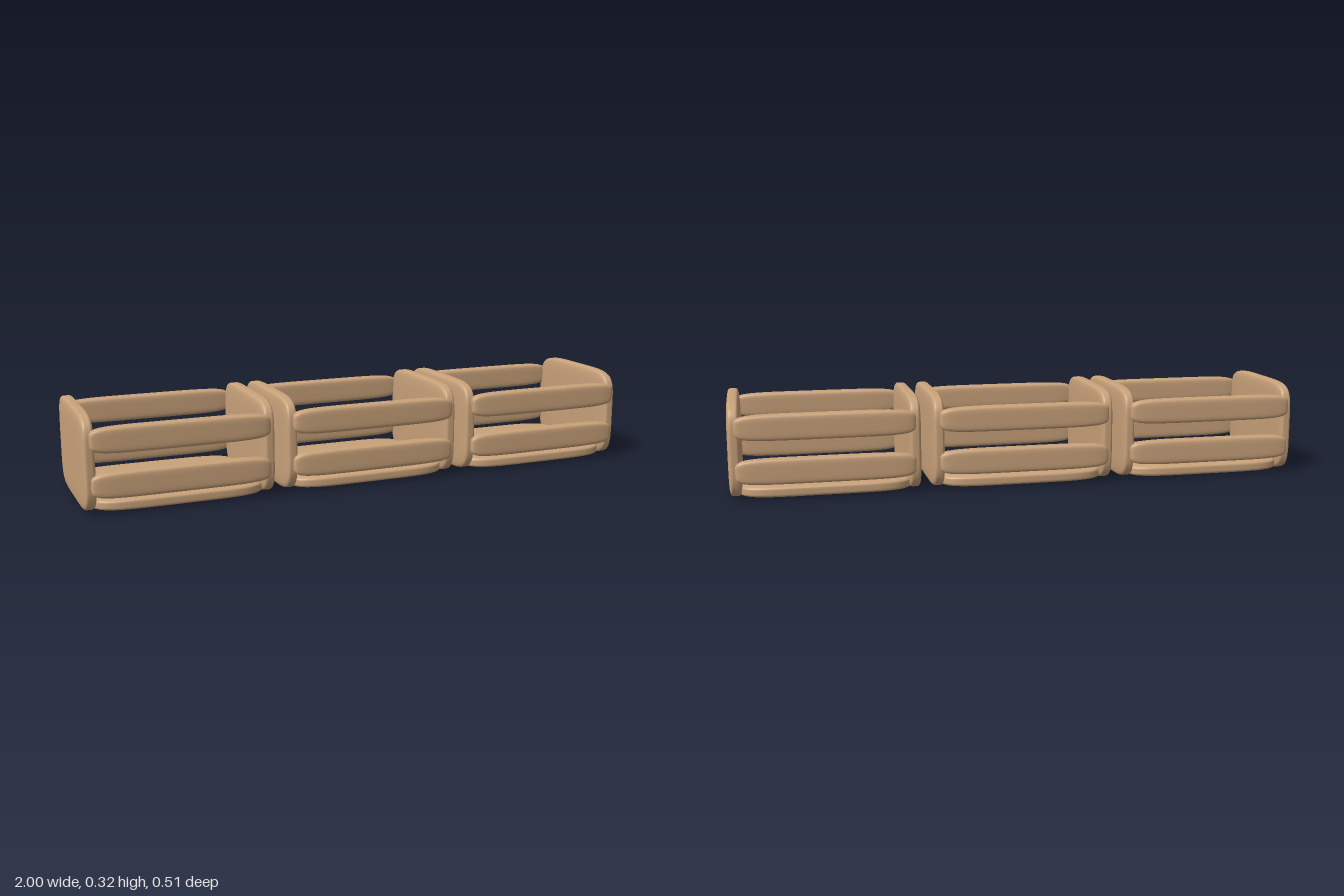
import * as THREE from 'three';

const wood = new THREE.MeshStandardMaterial({ color: 0xc9a27a });
const POWER = 5.5; // squareness of the softened blocks

// Pillow-edged block: a cube projected onto a superellipsoid, with exact normals
function softBlock(name, w, h, d, x, y, z) {
  const half = [w / 2, h / 2, d / 2];
  const geo = new THREE.BoxGeometry(2, 2, 2, 16, 16, 16);
  const pos = geo.attributes.position;
  const nor = geo.attributes.normal;
  for (let i = 0; i < pos.count; i++) {
    // gather the grid lines towards the edges
    const p = [pos.getX(i), pos.getY(i), pos.getZ(i)].map((t) => Math.sin((t * Math.PI) / 2));
    const len = Math.pow(p.reduce((s, t) => s + Math.pow(Math.abs(t), POWER), 0), 1 / POWER);
    const u = p.map((t) => t / len);
    const n = new THREE.Vector3(
      ...u.map((t, k) => (Math.sign(t) * Math.pow(Math.abs(t), POWER - 1)) / half[k])
    ).normalize();
    pos.setXYZ(i, u[0] * half[0], u[1] * half[1], u[2] * half[2]);
    nor.setXYZ(i, n.x, n.y, n.z);
  }
  const mesh = new THREE.Mesh(geo, wood);
  mesh.name = name;
  mesh.position.set(x, y, z);
  return mesh;
}

function createCrate() {
  const crate = new THREE.Group();
  crate.name = 'crate';

  // floor board
  crate.add(softBlock('floor', 0.6, 0.047, 0.46, 0, 0.0245, 0));

  // solid end panels
  for (const s of [-1, 1]) {
    crate.add(softBlock(s > 0 ? 'leftEndPanel' : 'rightEndPanel', 0.047, 0.324, 0.46, s * 0.2985, 0.162, 0));
  }

  // two slats along the front and two along the back
  for (const s of [-1, 1]) {
    const side = s > 0 ? 'front' : 'back';
    crate.add(softBlock(side + 'LowerSlat', 0.596, 0.087, 0.049, 0, 0.0985, s * 0.2295));
    crate.add(softBlock(side + 'UpperSlat', 0.596, 0.087, 0.049, 0, 0.2455, s * 0.2295));
  }
  return crate;
}

export function createModel() {
  const model = new THREE.Group();
  model.name = 'crateRow';
  const crate = createCrate();
  ['rightCrate', 'middleCrate', 'leftCrate'].forEach((name, i) => {
    const copy = crate.clone();
    copy.name = name;
    copy.position.x = (i - 1) * 0.678;
    model.add(copy);
  });
  return model;
}
